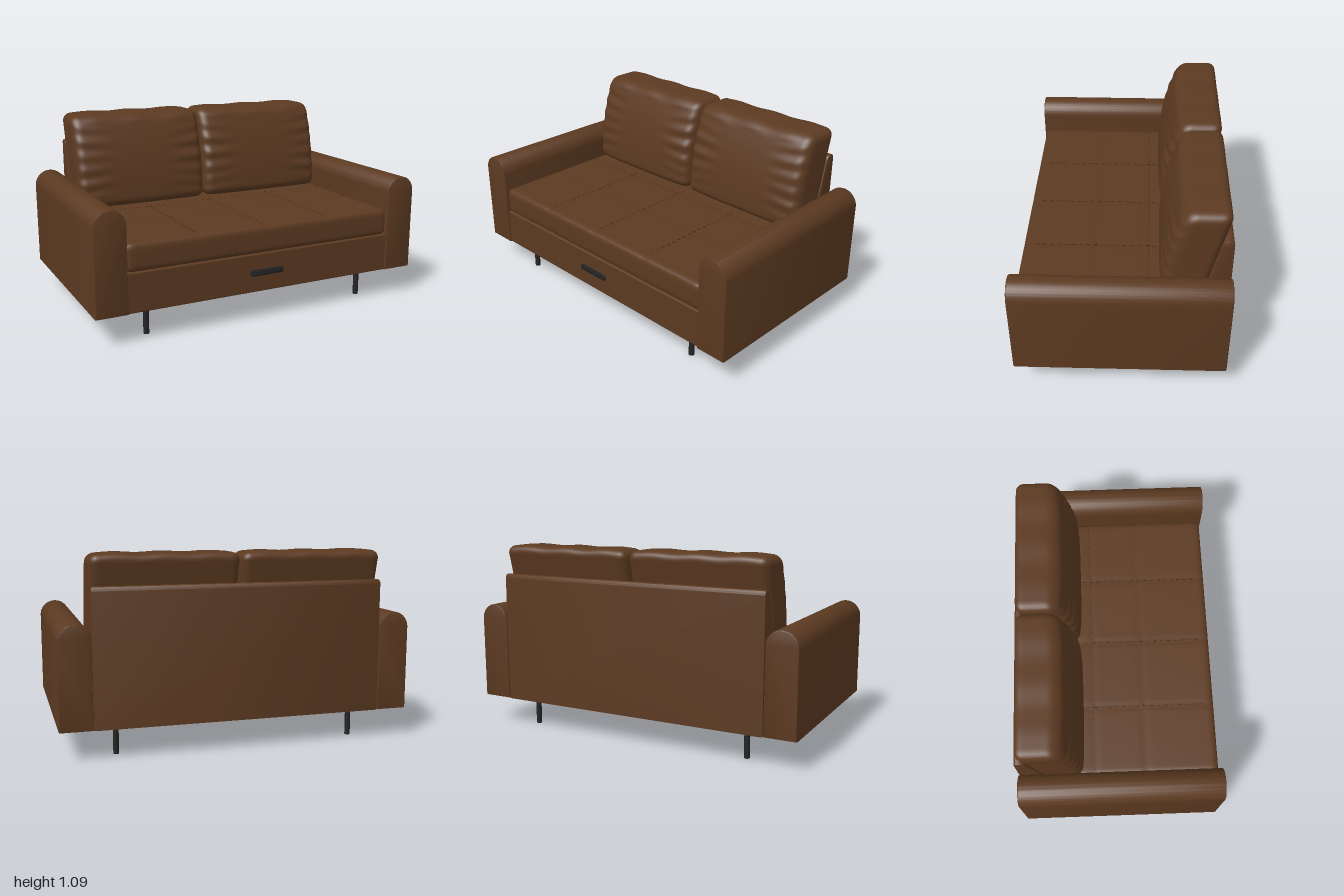
import * as THREE from 'three';
import { mergeVertices, toCreasedNormals } from 'three/addons/utils/BufferGeometryUtils.js';
import { RoundedBoxGeometry } from 'three/addons/geometries/RoundedBoxGeometry.js';

const leather = new THREE.MeshStandardMaterial({ color: 0x5c3a21 });
leather.name = 'brown leather';
const stitch = new THREE.MeshStandardMaterial({ color: 0x38220f });
stitch.name = 'dark stitching';
const metal = new THREE.MeshStandardMaterial({ color: 0x242424 });
metal.name = 'black metal';

function add(parent, name, geometry, material, x = 0, y = 0, z = 0) {
  const mesh = new THREE.Mesh(geometry, material);
  mesh.name = name;
  mesh.position.set(x, y, z);
  parent.add(mesh);
  return mesh;
}

// Finely divided rounded box whose vertices are then moved by a rule
function softBox(w, h, d, r, segments, deform) {
  let geo = new THREE.BoxGeometry(w, h, d, ...segments);
  geo.deleteAttribute('uv');
  geo.deleteAttribute('normal');
  geo = mergeVertices(geo, 1e-5);
  const pos = geo.attributes.position;
  const half = new THREE.Vector3(w / 2 - r, h / 2 - r, d / 2 - r);
  const low = half.clone().negate();
  const p = new THREE.Vector3(), core = new THREE.Vector3();
  for (let i = 0; i < pos.count; i++) {
    p.fromBufferAttribute(pos, i);
    core.copy(p).clamp(low, half);
    p.sub(core).setLength(r).add(core);
    deform(p);
    pos.setXYZ(i, p.x, p.y, p.z);
  }
  geo.computeVertexNormals();
  return geo;
}

// Extrusion with a small bevel that stays inside the given outline
function bevelled(shape, length, bevel) {
  const geo = new THREE.ExtrudeGeometry(shape, {
    depth: length - 2 * bevel, curveSegments: 20,
    bevelSize: bevel, bevelThickness: bevel, bevelOffset: -bevel, bevelSegments: 2,
  });
  geo.translate(0, 0, bevel - length / 2);
  return toCreasedNormals(geo, 0.7);
}

function armGeometry() {
  const s = new THREE.Shape();
  s.moveTo(-0.09, 0.165);
  s.lineTo(0.09, 0.165);
  s.lineTo(0.09, 0.643);
  s.absarc(0, 0.643, 0.09, 0, Math.PI, false);
  s.lineTo(-0.09, 0.165);
  return bevelled(s, 1.16, 0.008);
}

// Side outline of the back panel, with a sloping front and rounded top
function backPanelGeometry() {
  const s = new THREE.Shape();
  s.moveTo(0.34, 0.165);
  s.lineTo(0.58, 0.165);
  s.lineTo(0.58, 0.895);
  s.quadraticCurveTo(0.58, 0.922, 0.553, 0.922);
  s.quadraticCurveTo(0.522, 0.922, 0.515, 0.89);
  s.lineTo(0.475, 0.73);
  s.lineTo(0.34, 0.165);
  return bevelled(s, 1.636, 0.008).rotateY(Math.PI / 2);
}

// Leaning back cushion with a bulging front and creases near its sides
function cushionGeometry(side) {
  const w = 0.822, h = 0.55, d = 0.22;
  return softBox(w, h, d, 0.05, [56, 64, 16], (p) => {
    const t = p.y / h + 0.5;
    const s = p.z / d + 0.5;
    const u = Math.abs(p.x) / (w / 2);
    const front = -0.205 - 0.115 * Math.pow(Math.max(t, 0), 2.2) - 0.02 * u ** 4;
    const back = -0.44 - 0.132 * t;
    const fade = THREE.MathUtils.smoothstep(u, 0.3, 0.85) * s * s * Math.sin(Math.PI * t);
    const phase = p.y * 95 + (p.x > 0 ? -1 : 1) * side * 1.3 + u * 5 * Math.cos(Math.PI * t);
    const crease = fade * (0.0045 * Math.sin(phase) + 0.002 * Math.sin(p.y * 57 + 2));
    p.z = back + (front - back) * s + crease;
    if (t > 0.9) p.y += 0.003 * Math.cos(p.x * 24);
  });
}

// Seat cushion pressed in along its seams
const seamX = [-0.41, 0, 0.41];
const seamZ = [-0.15, 0.15];
function seatGeometry(zMid) {
  return softBox(1.644, 0.157, 1.02, 0.03, [80, 10, 50], (p) => {
    if (p.y < 0.03) return;
    let dip = 0;
    for (const x of seamX) dip = Math.max(dip, Math.exp(-(((p.x - x) / 0.014) ** 2)));
    for (const z of seamZ) dip = Math.max(dip, Math.exp(-(((p.z + zMid - z) / 0.014) ** 2)));
    p.y -= 0.003 * dip;
  });
}

export function createModel() {
  const sofa = new THREE.Group();
  sofa.name = 'sofa';

  // Frame
  add(sofa, 'base', new RoundedBoxGeometry(1.65, 0.222, 1.14, 3, 0.008), leather, 0, 0.276, 0);
  add(sofa, 'backPanel', backPanelGeometry(), leather);
  const arm = armGeometry();
  add(sofa, 'leftArm', arm, leather, 0.91);
  add(sofa, 'rightArm', arm, leather, -0.91);

  // Seat with dashed stitching in the seams
  const seatZ = 0.06;
  add(sofa, 'seatCushion', seatGeometry(seatZ), leather, 0, 0.4635, seatZ);
  const stitching = new THREE.Group();
  stitching.name = 'seatStitching';
  sofa.add(stitching);
  const dashX = new THREE.BoxGeometry(0.024, 0.003, 0.004);
  const dashZ = new THREE.BoxGeometry(0.004, 0.003, 0.024);
  for (const x of seamX)
    for (let z = -0.18; z < 0.53; z += 0.042) add(stitching, 'stitch', dashZ, stitch, x, 0.5385, z);
  for (const z of seamZ)
    for (let x = -0.777; x < 0.78; x += 0.042) add(stitching, 'stitch', dashX, stitch, x, 0.5385, z);

  // Back cushions
  for (const side of [1, -1])
    add(sofa, side > 0 ? 'leftBackCushion' : 'rightBackCushion', cushionGeometry(side), leather, side * 0.414, 0.815, 0);

  // Pull handle on the front of the base
  const pill = new THREE.Shape();
  pill.absarc(0.088, 0, 0.018, -Math.PI / 2, Math.PI / 2, false);
  pill.absarc(-0.088, 0, 0.018, Math.PI / 2, Math.PI * 1.5, false);
  add(sofa, 'handle', bevelled(pill, 0.014, 0.003), metal, 0, 0.278, 0.572);

  // Legs
  const leg = new THREE.CylinderGeometry(0.016, 0.016, 0.17, 20);
  for (const x of [-0.688, 0.688])
    for (const z of [-0.467, 0.47]) add(sofa, 'leg', leg, metal, x, 0.085, z);

  return sofa;
}
